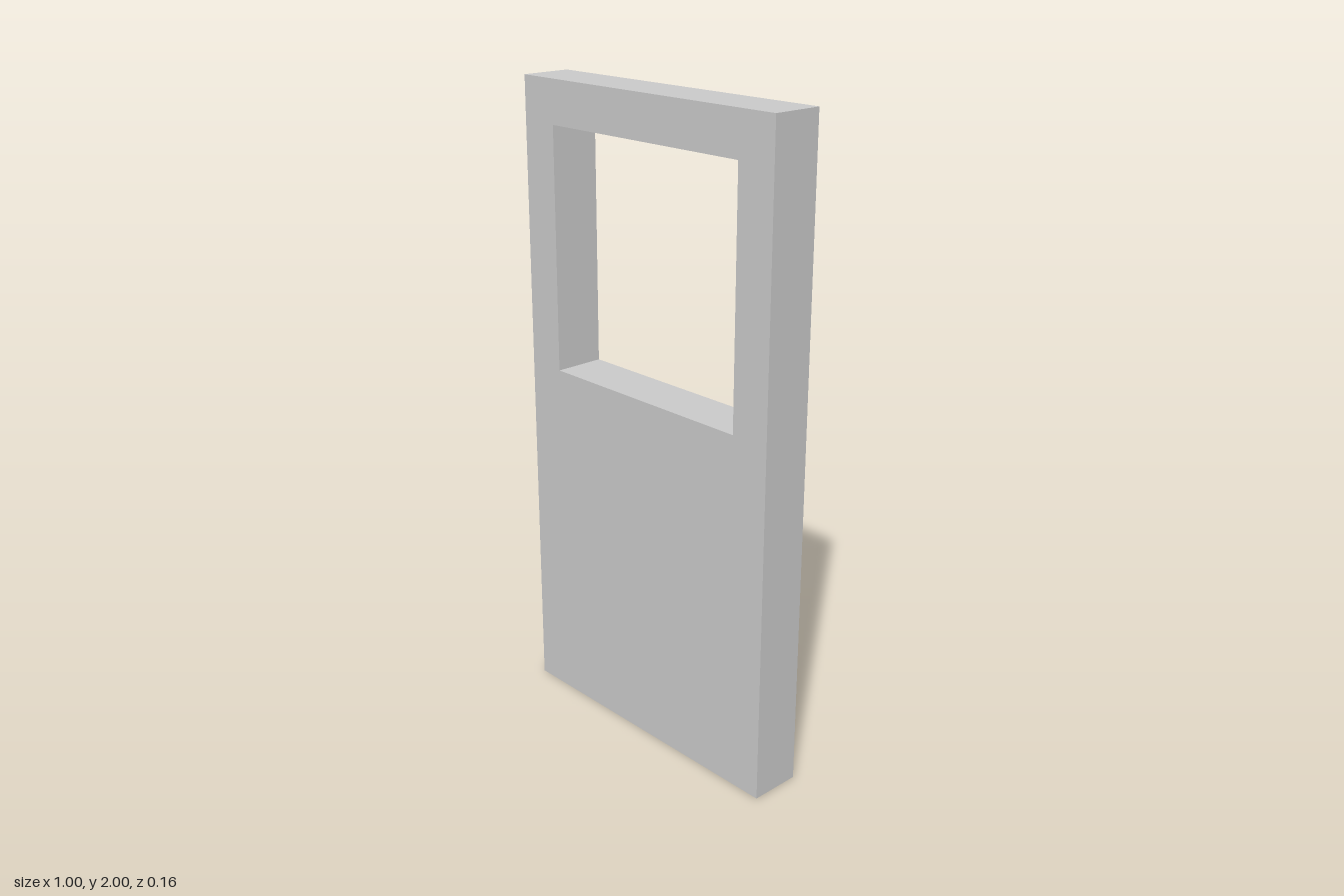
import * as THREE from 'three';

const WIDTH = 1, HEIGHT = 2, DEPTH = 0.16;
const OPENING = { width: 0.748, bottom: 1.117, top: 1.868 };

// Adds a closed rectangle to a shape or hole path
function rectangle(path, width, bottom, top) {
  const h = width / 2;
  path.moveTo(-h, bottom);
  path.lineTo(h, bottom);
  path.lineTo(h, top);
  path.lineTo(-h, top);
  path.closePath();
  return path;
}

export function createModel() {
  const group = new THREE.Group();
  group.name = 'windowedPanel';

  // Upright slab with a rectangular opening cut through its upper half
  const outline = rectangle(new THREE.Shape(), WIDTH, 0, HEIGHT);
  outline.holes.push(rectangle(new THREE.Path(), OPENING.width, OPENING.bottom, OPENING.top));

  const geometry = new THREE.ExtrudeGeometry(outline, { depth: DEPTH, bevelEnabled: false });
  geometry.translate(0, 0, -DEPTH / 2);

  const panel = new THREE.Mesh(
    geometry,
    new THREE.MeshStandardMaterial({ color: 0xcccccc, flatShading: true })
  );
  panel.name = 'panelWithOpening';
  group.add(panel);
  return group;
}
